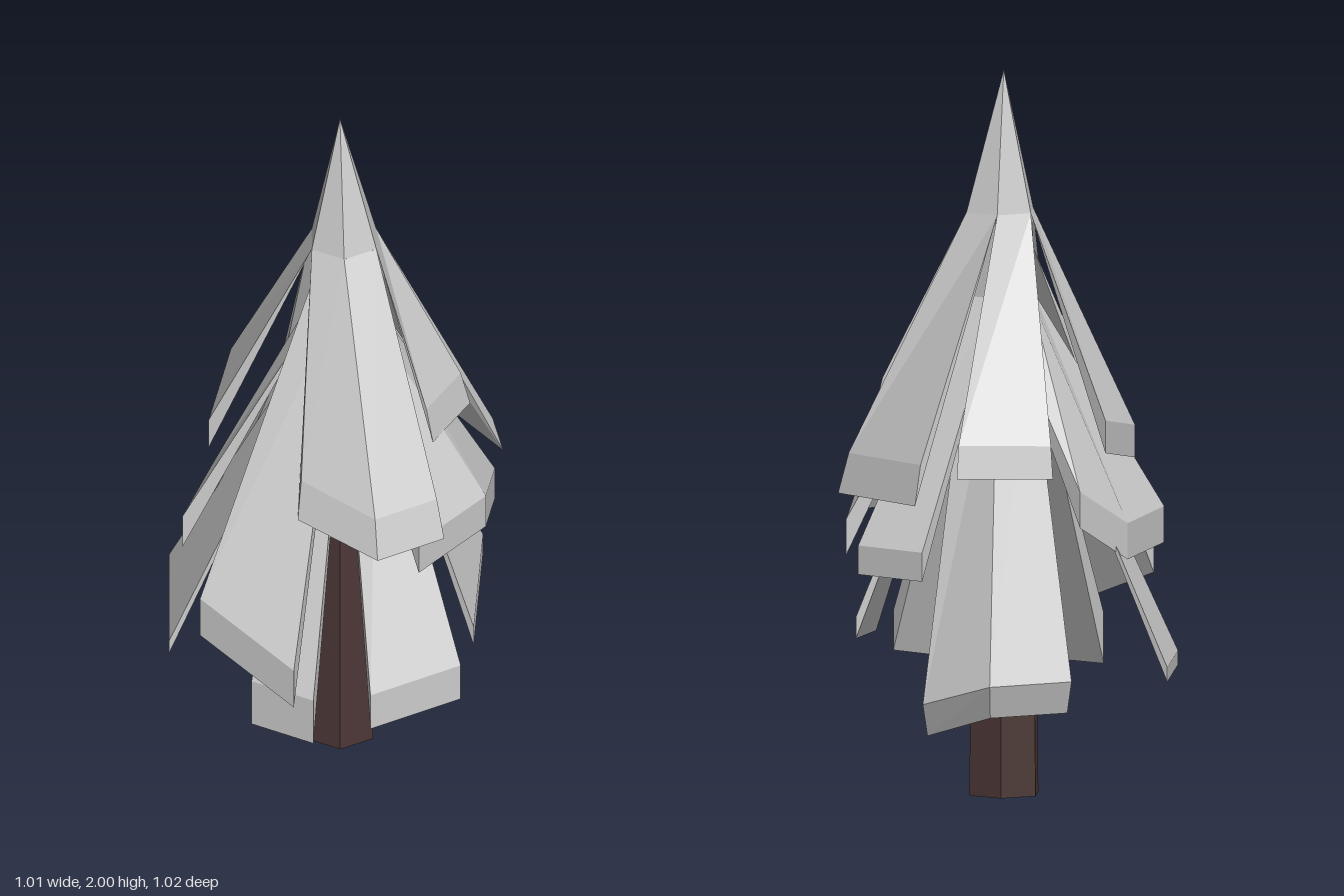
import * as THREE from 'three';

const CX = 0.048, CZ = -0.04, R = 0.102;

// Corner k of the six-sided core at height y
const core = (k, y) => {
  const a = (k * Math.PI) / 3;
  return [CX + R * Math.cos(a), y, CZ + R * Math.sin(a)];
};

// Bough: fans out from consecutive core corners to a drooping rim with a lip.
// rim points run from +x towards +z; flare moves the lip's lower edge out or in
function boughGeometry(innerY, firstCorner, drop, flare, rim) {
  const inner = rim.map((_, i) => core(firstCorner + i, innerY));
  const lower = rim.map(([x, y, z]) => [CX + (x - CX) * flare, y - drop, CZ + (z - CZ) * flare]);
  const pos = [];
  const tri = (...pts) => pts.forEach((p) => pos.push(...p));
  const quad = (a, b, c, d) => { tri(a, b, c); tri(a, c, d); };
  const n = rim.length - 1;
  for (let i = 0; i < n; i++) {
    quad(inner[i], inner[i + 1], rim[i + 1], rim[i]);
    quad(rim[i], rim[i + 1], lower[i + 1], lower[i]);
    quad(lower[i + 1], inner[i + 1], inner[i], lower[i]);
  }
  tri(inner[0], rim[0], lower[0]);
  tri(inner[n], lower[n], rim[n]);
  const g = new THREE.BufferGeometry();
  g.setAttribute('position', new THREE.Float32BufferAttribute(pos, 3));
  g.computeVertexNormals();
  return g;
}

// Boughs by tier: [attachment height, first corner, lip depth, lip flare, rim points]
const tiers = {
  upperBough: [
    [1.61, 0, 0.11, 1.08, [[0.452, 1.0, 0.154], [0.356, 1.0, 0.326], [0.115, 1.04, 0.312]]],
    [1.61, 5, 0.1, 1.08, [[0.31, 1.15, -0.225], [0.318, 1.15, -0.022]]],
    [1.61, 4, 0.11, 1.07, [[0.013, 0.96, -0.479], [0.348, 0.95, -0.335]]],
    [1.61, 3, 0.09, 1.04, [[-0.275, 1.01, -0.268], [-0.1, 1.02, -0.46]]],
    [1.61, 2, 0.09, 1, [[-0.27, 1.02, 0.15], [-0.355, 1.07, -0.12]]],
  ],
  middleBough: [
    [1.5, 1, 0.12, 1, [[0.205, 0.56, 0.51], [-0.105, 0.68, 0.485]]],
    [1.38, 2, 0.1, 1, [[-0.275, 0.78, 0.285], [-0.34, 0.77, 0.01], [-0.325, 0.88, -0.2]]],
    [1.38, 4, 0.08, 1, [[0, 0.72, -0.49], [0.225, 0.72, -0.47]]],
    [1.36, 5, 0.1, 1, [[0.34, 0.77, -0.36], [0.455, 0.86, -0.11], [0.41, 0.86, 0.18]]],
  ],
  lowerBough: [
    [1.25, 0, 0.11, 1, [[0.505, 0.45, 0.115], [0.335, 0.41, 0.315]]],
    [1.25, 1, 0.14, 1, [[0.235, 0.44, 0.455], [0.04, 0.44, 0.455]]],
    [1.25, 2, 0.04, 1, [[-0.3, 0.38, 0.315], [-0.505, 0.39, -0.04]]],
    [1.25, 3, 0.09, 0.94, [[-0.365, 0.37, -0.3], [-0.24, 0.37, -0.515], [0, 0.3, -0.487]]],
    [1.25, 5, 0.06, 1, [[0.28, 0.51, -0.4], [0.46, 0.475, -0.035]]],
  ],
};

export function createModel() {
  const tree = new THREE.Group();
  tree.name = 'coniferTree';
  const foliage = new THREE.MeshStandardMaterial({ color: 0xcccccc, flatShading: true, side: THREE.DoubleSide });
  const bark = new THREE.MeshStandardMaterial({ color: 0x4c3836, flatShading: true });

  const add = (name, geometry, material) => {
    const mesh = new THREE.Mesh(geometry, material);
    mesh.name = name;
    tree.add(mesh);
    return mesh;
  };

  // Six-sided trunk with plain ends, running up inside the foliage
  add('trunk', new THREE.CylinderGeometry(0.09, 0.105, 1.2, 6, 1, false, Math.PI / 6), [bark, foliage, foliage])
    .position.set(0.035, 0.6, CZ);

  // Solid heart of the foliage that the boughs spring from
  add('foliageCore', new THREE.CylinderGeometry(R - 0.002, R - 0.002, 0.42, 6, 1, false, Math.PI / 6), foliage)
    .position.set(CX, 1.39, CZ);

  // Pointed crown, its tip leaning slightly to the side
  const crown = new THREE.ConeGeometry(R, 0.39, 6, 1, false, Math.PI / 6);
  crown.applyMatrix4(new THREE.Matrix4().makeShear(0, 0, -0.033, 0, 0, 0));
  add('crown', crown, foliage).position.set(CX - 0.0065, 1.805, CZ);

  // Three tiers of boughs
  for (const [name, boughs] of Object.entries(tiers)) {
    boughs.forEach((bough, i) => add(`${name}${i + 1}`, boughGeometry(...bough), foliage));
  }
  return tree;
}
